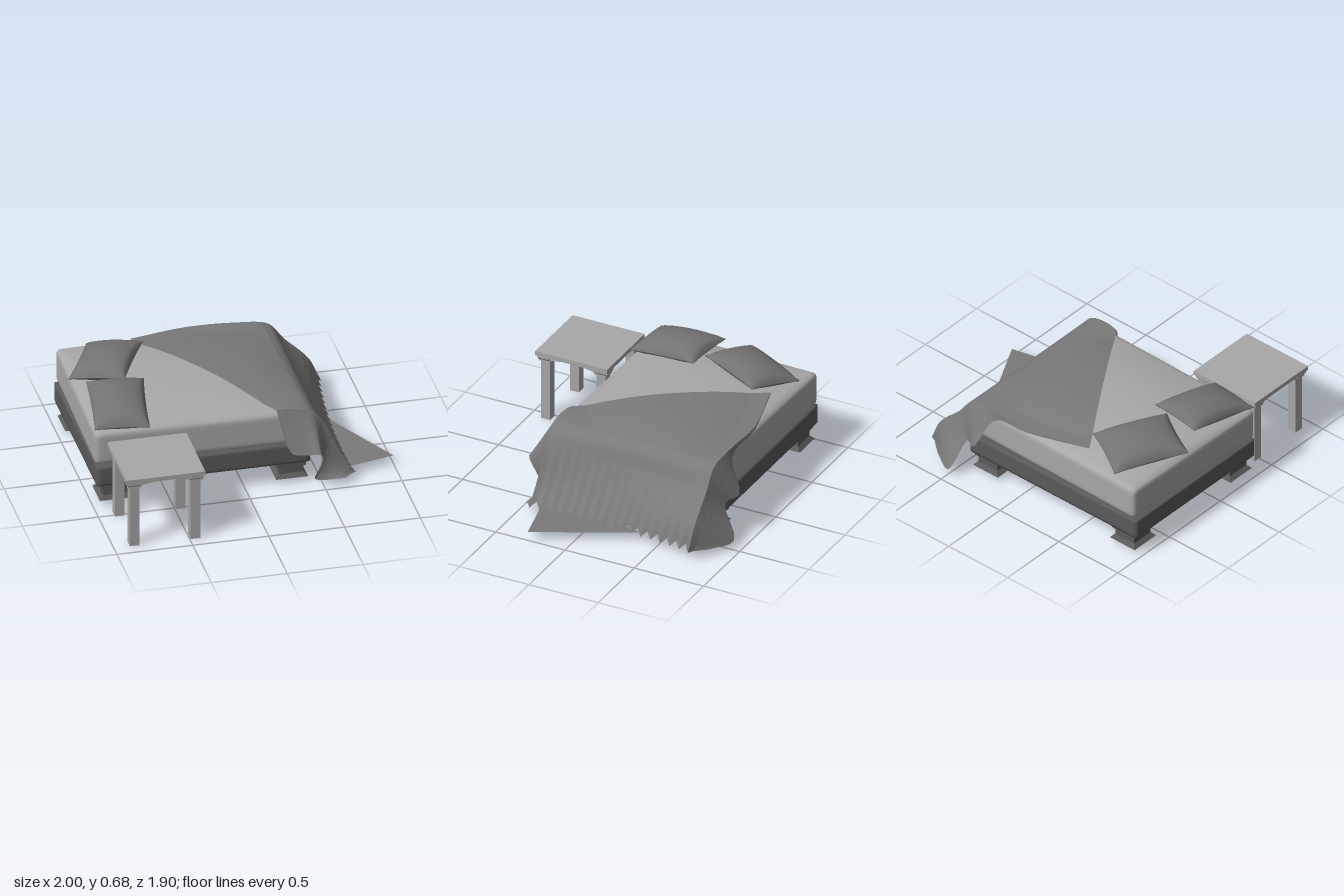
import * as THREE from 'three';
import { mergeVertices } from 'three/addons/utils/BufferGeometryUtils.js';

const mat = (name, color, extra = {}) => {
  const m = new THREE.MeshStandardMaterial({ color, ...extra });
  m.name = name;
  return m;
};

// Box whose vertices are moved by a rule, welded for smooth normals
function softBox(w, h, d, segs, rule) {
  const g = new THREE.BoxGeometry(w, h, d, ...segs);
  g.deleteAttribute('uv');
  g.deleteAttribute('normal');
  const p = g.attributes.position;
  const v = new THREE.Vector3();
  for (let i = 0; i < p.count; i++) {
    rule(v.fromBufferAttribute(p, i));
    p.setXYZ(i, v.x, v.y, v.z);
  }
  const out = mergeVertices(g, 1e-4);
  out.computeVertexNormals();
  return out;
}

// Rounds the corners of a centred box
function rounded(v, w, h, d, r) {
  const c = new THREE.Vector3(w / 2 - r, h / 2 - r, d / 2 - r);
  const inner = v.clone().clamp(c.clone().negate(), c);
  const off = v.clone().sub(inner);
  if (off.length() > r) off.setLength(r);
  v.copy(inner.add(off));
}

const BED = { x: -0.275, z: -0.212, w: 1.4, d: 1.16 };

// Domed height of the mattress top
function topY(x, z) {
  const u = Math.abs((x - BED.x) / (BED.w / 2)), w = Math.abs((z - BED.z) / (BED.d / 2));
  if (u > 1 || w > 1) return -1;
  return 0.525 + 0.075 * (1 - u ** 3) * (1 - w ** 2.3);
}

// Cushion stretched between four corners [x, y, z], pinched at its edges
function pillowGeometry([a, b, c, d]) {
  return softBox(2, 2, 2, [24, 1, 24], v => {
    const s = Math.sign(v.y), u = v.x, w = v.z;
    const fu = (u * (1 - 0.04 * (1 - w * w)) + 1) / 2;
    const fw = (w * (1 - 0.04 * (1 - u * u)) + 1) / 2;
    const mix = k => THREE.MathUtils.lerp(
      THREE.MathUtils.lerp(a[k], b[k], fu), THREE.MathUtils.lerp(d[k], c[k], fu), fw);
    const puff = 0.004 + 0.08 * Math.pow((1 - u * u) * (1 - w * w), 0.5);
    v.set(mix(0), mix(1) + s * puff * (s > 0 ? 1 : 0.6), mix(2));
  });
}

// Draped cloth: four rails run from the turned-back edge to the foot hem
function blanketGeometry() {
  const rail = pts => new THREE.CatmullRomCurve3(pts.map(p => new THREE.Vector3(...p)));
  const backHem = rail([[-0.5, 0.58, -0.705], [-0.05, 0.545, -0.81], [0.22, 0.5, -0.8],
    [0.31, 0.3, -0.9], [0.41, 0.27, -0.85], [0.48, 0.06, -0.95], [0.65, 0.055, -0.86]]);
  const backEdge = rail([[-0.5, 0.585, -0.7], [-0.1, 0.565, -0.8], [0.22, 0.56, -0.79],
    [0.43, 0.53, -0.78], [0.53, 0.41, -0.78], [0.7, 0.23, -0.78], [0.76, 0.07, -0.77]]);
  const frontEdge = rail([[0.2, 0.555, 0.37], [0.25, 0.56, 0.38], [0.33, 0.555, 0.39],
    [0.43, 0.53, 0.39], [0.52, 0.42, 0.39], [0.61, 0.22, 0.4], [0.7, 0.055, 0.41]]);
  const frontHem = rail([[0.205, 0.55, 0.38], [0.28, 0.28, 0.47], [0.37, 0.27, 0.5],
    [0.46, 0.28, 0.54], [0.48, 0.17, 0.47], [0.44, 0.06, 0.45], [0.64, 0.05, 0.465]]);
  const rows = 24, cols = 42, flap = 5;
  const pos = [], idx = [];
  for (let i = 0; i <= rows; i++) {
    const t = i / rows;
    const [bh, be, fe, fh] = [backHem, backEdge, frontEdge, frontHem].map(c => c.getPoint(t));
    const fall = THREE.MathUtils.smoothstep(t, 0.5, 1);
    const hem = Math.max(0, t - 0.9) / 0.1;
    for (let j = 0; j <= cols; j++) {
      const p = new THREE.Vector3();
      const pleat = j % 2 ? 1 : -1;
      if (j < flap) p.lerpVectors(bh, be, j / flap);
      else if (j > cols - flap) p.lerpVectors(fe, fh, (j - cols + flap) / flap);
      else {
        const w = (j - flap) / (cols - 2 * flap);
        p.lerpVectors(be, fe, w);
        p.y = Math.max(p.y, topY(p.x, p.z) + 0.015);
        // Sagging middle, slight facets and a toothed hem
        const sag = 0.035 * fall + 0.03 * Math.sin(Math.PI * fall);
        p.x -= sag * Math.sin(Math.PI * w) ** 0.7;
        p.x += (0.005 * fall + 0.012 * hem) * pleat;
        p.y += 0.018 * hem * (1 - pleat);
      }
      pos.push(p.x, p.y, p.z);
      if (i < rows && j < cols) {
        const a = i * (cols + 1) + j, b = a + cols + 1;
        idx.push(a, a + 1, b, a + 1, b + 1, b);
      }
    }
  }
  const g = new THREE.BufferGeometry();
  g.setAttribute('position', new THREE.Float32BufferAttribute(pos, 3));
  g.setIndex(idx);
  g.computeVertexNormals();
  return g;
}

export function createModel() {
  const root = new THREE.Group();
  root.name = 'bedroomSet';
  const wood = mat('tableGrey', 0xa8a8a8);
  const linen = mat('mattressGrey', 0xa8a8a8);
  const wool = mat('blanketGrey', 0x7a7a7a, { side: THREE.DoubleSide, flatShading: true });
  const cotton = mat('pillowGrey', 0x737373);
  const dark = mat('frameGrey', 0x5a5a5a);
  const darkFacets = mat('footGrey', 0x5a5a5a, { flatShading: true });
  const add = (parent, name, geo, material, x = 0, y = 0, z = 0) => {
    const m = new THREE.Mesh(geo, material);
    m.name = name;
    m.position.set(x, y, z);
    parent.add(m);
    return m;
  };

  // Bed frame and slightly turned mattress
  const bed = new THREE.Group();
  bed.name = 'bed';
  root.add(bed);
  add(bed, 'bedFrame', softBox(1.405, 0.14, 1.16, [40, 8, 40],
    v => rounded(v, 1.405, 0.14, 1.16, 0.008)), dark, -0.273, 0.212, -0.217);
  add(bed, 'mattress', softBox(BED.w, 0.23, BED.d, [48, 12, 48], v => {
    const lift = topY(v.x + BED.x, v.z + BED.z) - 0.525;
    const k = Math.max(0, v.y / 0.115);
    rounded(v, BED.w, 0.23, BED.d, 0.03);
    v.y += Math.max(0, lift) * k ** 3;
  }), linen, BED.x, 0.41, BED.z).rotation.y = -0.018;

  // Stepped square feet
  const profile = [[0, 0.035], [0.105, 0.035], [0.08, 0.062], [0.08, 0.108],
    [0.095, 0.115], [0.095, 0.144]].map(([r, y]) => new THREE.Vector2(r * Math.SQRT2, y));
  const footGeo = new THREE.LatheGeometry(profile, 4).rotateY(Math.PI / 4);
  for (const x of [-0.85, 0.31])
    for (const z of [-0.68, 0.255]) add(bed, 'bedFoot', footGeo, darkFacets, x, 0, z);

  // Pillows
  add(root, 'backPillow', pillowGeometry([[-0.77, 0.55, -0.77], [-0.44, 0.61, -0.6],
    [-0.67, 0.62, -0.14], [-1, 0.57, -0.31]]), cotton);
  add(root, 'frontPillow', pillowGeometry([[-0.92, 0.62, -0.16], [-0.55, 0.62, -0.12],
    [-0.63, 0.545, 0.38], [-0.985, 0.55, 0.34]]), cotton);

  // Blanket and its flat corner spread near the floor
  add(root, 'blanket', blanketGeometry(), wool);
  const corner = new THREE.Shape([[1, 0.27], [0.67, -0.37], [0.5, 0.385]]
    .map(([x, z]) => new THREE.Vector2(x, -z)));
  add(root, 'blanketCorner', new THREE.ShapeGeometry(corner).rotateX(-Math.PI / 2), wool, 0, 0.06, 0);

  // Side table with arched aprons
  const table = new THREE.Group();
  table.name = 'sideTable';
  table.position.set(-0.663, 0, 0.686);
  root.add(table);
  add(table, 'tableTop', new THREE.BoxGeometry(0.52, 0.03, 0.52), wood, 0, 0.485, 0);
  const half = [[0, 0.472], [0.15, 0.448], [0.165, 0.43], [0.235, 0.43], [0.255, 0.455], [0.255, 0.475]];
  const apron = new THREE.Shape([...half, ...half.slice(1).reverse().map(([x, y]) => [-x, y])]
    .map(([x, y]) => new THREE.Vector2(x, y)));
  const apronGeo = new THREE.ExtrudeGeometry(apron, { depth: 0.08, bevelEnabled: false });
  apronGeo.translate(0, 0, 0.165);
  for (let i = 0; i < 4; i++) add(table, 'tableApron', apronGeo, wood).rotation.y = i * Math.PI / 2;
  for (const x of [-0.2, 0.2])
    for (const z of [-0.2, 0.2])
      add(table, 'tableLeg', new THREE.BoxGeometry(0.064, 0.44, 0.064), wood, x, 0.22, z);

  return root;
}
